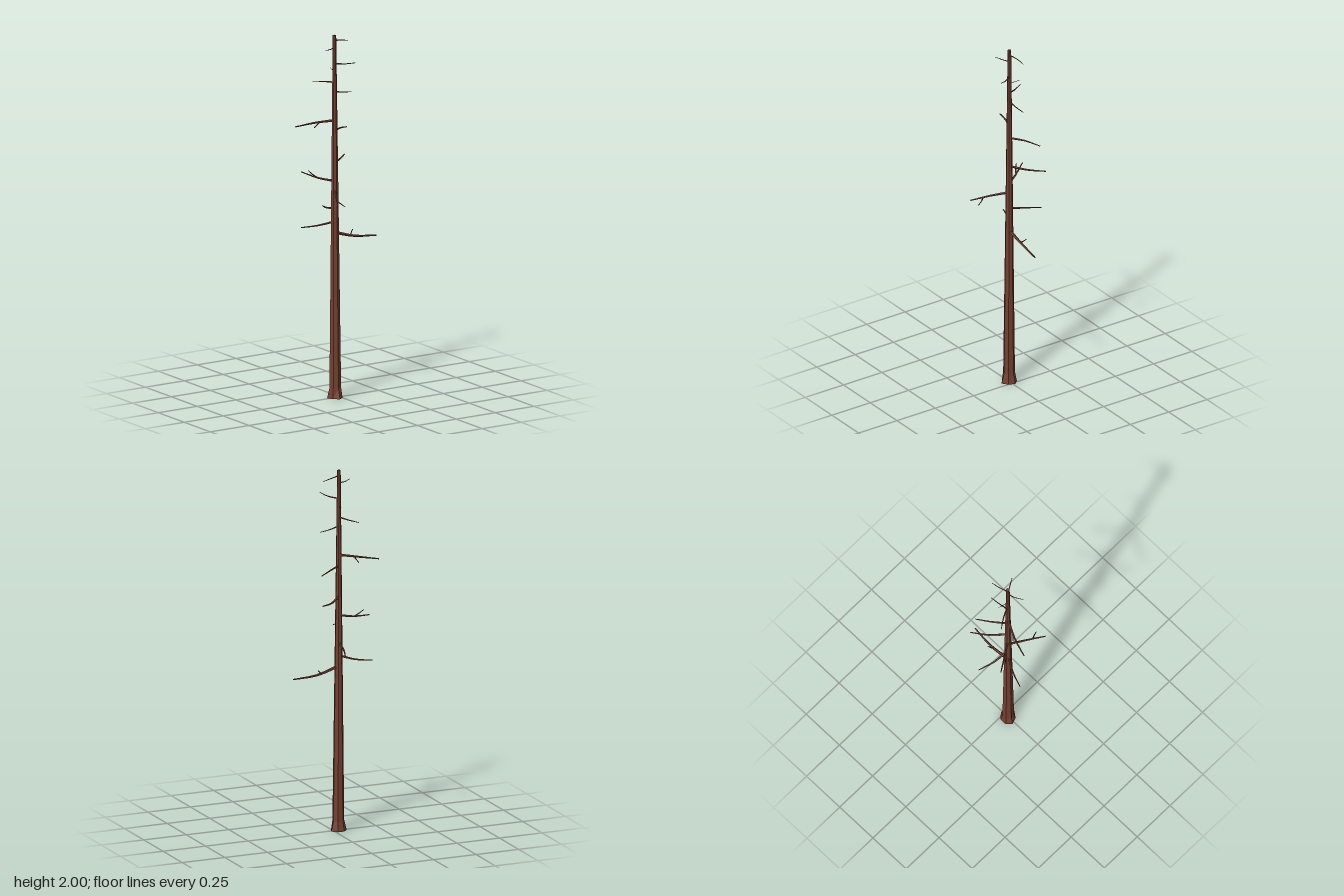
import * as THREE from 'three';

const bark = new THREE.MeshStandardMaterial({ color: 0x74402f, flatShading: true, side: THREE.DoubleSide });

// Trunk axis: a very slight lean towards the top
const axis = (y) => new THREE.Vector3(-0.029 - 0.001 * y, y, -0.001 - 0.002 * y);

// Seven-sided trunk with a straight taper, flared and slightly lobed at the foot
function makeTrunk() {
  const geo = new THREE.CylinderGeometry(1, 1, 2, 7, 4).translate(0, 1, 0);
  const pos = geo.attributes.position;
  for (let i = 0; i < pos.count; i++) {
    const x = pos.getX(i), z = pos.getZ(i);
    // the second ring drops to the top of the flare
    const y = pos.getY(i) === 0.5 ? 0.055 : pos.getY(i);
    const r = y === 0
      ? 0.0435 + 0.004 * Math.cos(3 * Math.atan2(x, z))
      : THREE.MathUtils.lerp(0.033, 0.0098, y / 2);
    const c = axis(y);
    pos.setXYZ(i, c.x + x * r, y, c.z + z * r);
  }
  geo.computeVertexNormals();
  const mesh = new THREE.Mesh(geo, bark);
  mesh.name = 'trunk';
  return mesh;
}

// Tapering limb along a curve; its last ring folds inward to close the blunt tip
function makeLimb(name, curve, r0, r1) {
  const segments = 6, sides = 5;
  const geo = new THREE.TubeGeometry(curve, segments + 1, 1, sides);
  const pos = geo.attributes.position;
  const p = new THREE.Vector3();
  for (let i = 0; i < pos.count; i++) {
    const ring = Math.floor(i / (sides + 1));
    const t = Math.min(ring / segments, 1);
    const radius = ring > segments ? 0 : THREE.MathUtils.lerp(r0, r1, t);
    p.fromBufferAttribute(pos, i)
      .sub(curve.getPointAt(ring / (segments + 1)))
      .multiplyScalar(radius)
      .add(curve.getPointAt(t));
    pos.setXYZ(i, p.x, p.y, p.z);
  }
  geo.computeVertexNormals();
  const mesh = new THREE.Mesh(geo, bark);
  mesh.name = name;
  return mesh;
}

// Gentle arc whose middle bends sideways and sags by a share of its length
function arc(start, tip, bend, sag) {
  const d = tip.clone().sub(start);
  const mid = start.clone().lerp(tip, 0.5);
  mid.x += d.z * bend;
  mid.z -= d.x * bend;
  mid.y -= d.length() * sag;
  return new THREE.CatmullRomCurve3([start, mid, tip]);
}

// Branch with thickness set by its reach; a twig forks off part of the way along
function makeBranch(rootY, tip, { bend = 0, sag = 0, twig } = {}) {
  const root = axis(rootY);
  const curve = arc(root, tip, bend, sag);
  const radius = 0.035 * root.distanceTo(tip);
  const branch = new THREE.Group();
  branch.name = 'branch';
  branch.add(makeLimb('branchLimb', curve, radius, radius * 0.42));
  if (twig) {
    const fork = curve.getPointAt(twig.at);
    branch.add(makeLimb('twig', arc(fork, twig.tip, 0.04, 0.04), 0.004, 0.002));
  }
  return branch;
}

export function createModel() {
  const tree = new THREE.Group();
  tree.name = 'bareTree';
  const at = (x, y, z) => new THREE.Vector3(x, y, z);
  const add = (rootY, tip, shape) => tree.add(makeBranch(rootY, tip, shape));
  tree.add(makeTrunk());

  // Heavy lower branches
  add(0.912, at(0.23, 0.863, 0.01), { bend: 0.03, sag: 0.05, twig: { at: 0.4, tip: at(0.1, 0.907, -0.025) } });
  add(0.972, at(-0.195, 0.945, -0.078), { bend: -0.04, sag: 0.04 });
  add(1.045, at(0.012, 1.014, -0.185), { bend: 0.05, sag: 0.02 });
  add(1.142, at(-0.131, 1.104, 0.181), { sag: -0.015, twig: { at: 0.66, tip: at(-0.075, 1.094, 0.167) } });
  add(1.195, at(-0.137, 1.226, -0.165), { sag: 0.04, twig: { at: 0.5, tip: at(-0.126, 1.243, -0.116) } });
  add(1.3, at(0.122, 1.294, -0.136), { bend: 0.03, sag: 0.05 });
  add(1.47, at(0.115, 1.453, -0.104), { bend: 0.03, sag: -0.03 });
  add(1.53, at(-0.23, 1.505, -0.083), { bend: -0.04, sag: -0.01, twig: { at: 0.38, tip: at(-0.124, 1.49, -0.06) } });

  // Thin upper branches
  add(1.69, at(0.085, 1.67, -0.015), { sag: 0.03 });
  add(1.74, at(-0.095, 1.731, -0.12), { bend: -0.04 });
  add(1.803, at(-0.018, 1.807, -0.065), { sag: 0.04 });
  add(1.843, at(0.036, 1.859, 0.095), { bend: 0.04, sag: 0.04 });
  add(1.93, at(-0.112, 1.934, 0.031), { bend: -0.04, sag: 0.04 });
  add(1.97, at(0.07, 1.953, -0.025), { bend: 0.04, sag: -0.02 });
  return tree;
}
